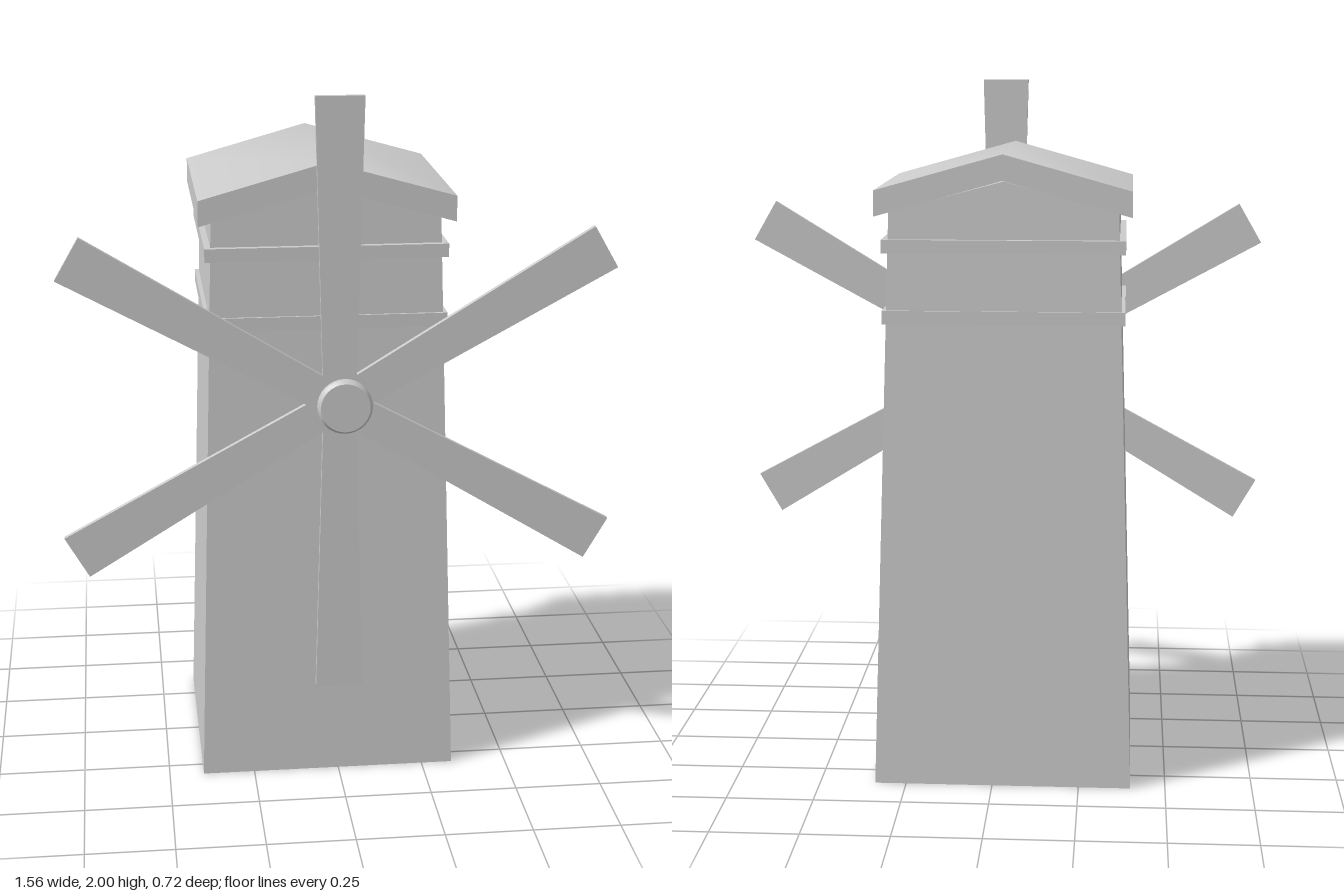
import * as THREE from 'three';
import { toCreasedNormals } from 'three/addons/utils/BufferGeometryUtils.js';

const CX = -0.03, CZ = -0.022; // axis of the tower
const EAVE = 1.645;

const grey = new THREE.MeshStandardMaterial({ color: 0xcccccc });
const greyDouble = new THREE.MeshStandardMaterial({ color: 0xcccccc, side: THREE.DoubleSide });

function addMesh(group, name, geometry, material = grey) {
  const mesh = new THREE.Mesh(geometry, material);
  mesh.name = name;
  group.add(mesh);
  return mesh;
}

function polygon(points) {
  return new THREE.Shape(points.map(([x, y]) => new THREE.Vector2(x, y)));
}

function rectangle(hx, hy) {
  return [[-hx, -hy], [hx, -hy], [hx, hy], [-hx, hy]];
}

// Tapered shell with gabled top and open bottom
function towerGeometry() {
  const geo = new THREE.BoxGeometry(2, 1, 2, 2, 1, 1);
  const pos = geo.attributes.position;
  for (let i = 0; i < pos.count; i++) {
    const x = pos.getX(i), z = pos.getZ(i);
    if (pos.getY(i) > 0) {
      pos.setXYZ(i, x * 0.32, x === 0 ? 1.74 : EAVE + 0.01, z * 0.29);
    } else {
      pos.setXYZ(i, x * 0.37, 0, z * 0.333);
    }
  }
  const floor = geo.groups[3];
  const index = Array.from(geo.index.array);
  index.splice(floor.start, floor.count);
  geo.setIndex(index);
  geo.clearGroups();
  return toCreasedNormals(geo, 0.1);
}

// Square ring around the tower
function bandGeometry(hx, hz, height) {
  const shape = polygon(rectangle(hx, hz));
  shape.holes.push(polygon(rectangle(hx - 0.035, hz - 0.035)));
  const geo = new THREE.ExtrudeGeometry(shape, { depth: height, bevelEnabled: false });
  return geo.rotateX(-Math.PI / 2);
}

// Shallow gable of even thickness, softly shaded at the ridge
function roofGeometry() {
  const h = 0.357;
  const shape = polygon([
    [-h, EAVE], [0, 1.745], [h, EAVE], [h, 1.717], [0, 1.817], [-h, 1.717],
  ]);
  const geo = new THREE.ExtrudeGeometry(shape, { depth: 0.66, bevelEnabled: false });
  return toCreasedNormals(geo.translate(0, 0, -0.33), 0.6);
}

// Six flaring blades in one flat star
function sailsGeometry() {
  const points = [];
  const put = (along, across, angle) => points.push([
    along * Math.cos(angle) - across * Math.sin(angle),
    along * Math.sin(angle) + across * Math.cos(angle),
  ]);
  for (let i = 0; i < 6; i++) {
    const angle = Math.PI / 6 + i * Math.PI / 3;
    put(0.862, -0.068, angle);
    put(0.862, 0.068, angle);
    put(0.095, 0, angle + Math.PI / 6);
  }
  return new THREE.ExtrudeGeometry(polygon(points), { depth: 0.018, bevelEnabled: false });
}

// Round hub with a bevelled rim
function hubGeometry() {
  const profile = [[0, 0], [0.078, 0], [0.078, 0.073], [0.07, 0.085], [0, 0.085]]
    .map(([r, y]) => new THREE.Vector2(r, y));
  const geo = new THREE.LatheGeometry(profile, 32).rotateX(Math.PI / 2);
  return toCreasedNormals(geo, 0.5);
}

export function createModel() {
  const model = new THREE.Group();
  model.name = 'windmill';

  const building = new THREE.Group();
  building.name = 'building';
  building.position.set(CX, 0, CZ);
  model.add(building);

  addMesh(building, 'tower', towerGeometry(), greyDouble);
  addMesh(building, 'lowerBand', bandGeometry(0.34, 0.305, 0.038)).position.y = 1.342;
  addMesh(building, 'upperBand', bandGeometry(0.34, 0.311, 0.038)).position.y = 1.541;
  addMesh(building, 'roof', roofGeometry());

  // Sails and hub
  addMesh(model, 'sails', sailsGeometry()).position.set(0, 1.138, 0.315);
  addMesh(model, 'hub', hubGeometry()).position.set(0.014, 1.132, 0.275);

  return model;
}
